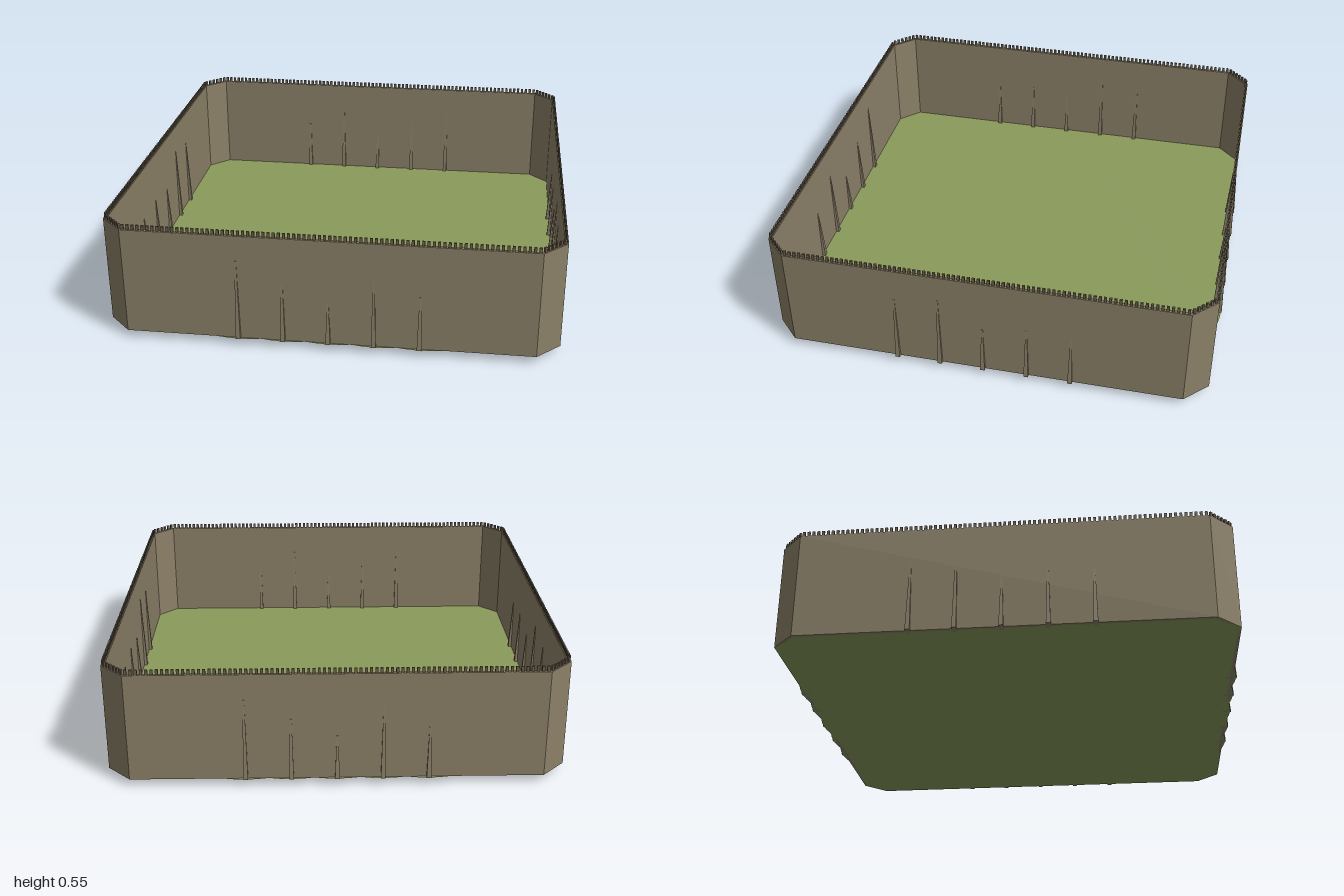
import * as THREE from 'three';
import { mergeGeometries } from 'three/addons/utils/BufferGeometryUtils.js';

const FLOOR_Y = 0.037, WALL_TOP = 0.523;

// Corners of a chamfered square, counter-clockwise
const octagon = (a, c) => [
  [a, -c], [a, c], [c, a], [-c, a], [-a, c], [-a, -c], [-c, -a], [c, -a],
].map(([x, y]) => new THREE.Vector2(x, y));

export function createModel() {
  const group = new THREE.Group();
  const grass = new THREE.MeshStandardMaterial({ name: 'mossGreen', color: 0x8a9a5b, side: THREE.DoubleSide });
  const wood = new THREE.MeshStandardMaterial({ name: 'wallBrown', color: 0x8b8068 });
  const dark = new THREE.MeshStandardMaterial({ name: 'toothBrown', color: 0x6b5f4c });
  const add = (name, geo, mat) => {
    const mesh = new THREE.Mesh(geo, mat);
    mesh.name = name;
    group.add(mesh);
    return mesh;
  };

  // Floor: chamfered square whose front and back edges swell at each buttress
  const scallop = (side) => {
    const pts = [];
    for (let i = 0; i <= 20; i++) {
      const x = -0.4875 + i * 0.04875;
      pts.push(new THREE.Vector2(-side * x, side * (0.985 + 0.012 * Math.sin(Math.PI * (i % 4) / 4))));
    }
    return pts;
  };
  const o = octagon(0.985, 0.883);
  const floorShape = new THREE.Shape([
    o[0], o[1], o[2], ...scallop(1), o[3], o[4], o[5], o[6], ...scallop(-1), o[7],
  ]);
  const rim = [[-0.88, 0.69], [-0.28, 0.69], [-0.28, -0.1], [-0.88, -0.1]];
  const bed = [[-0.7, 0.47], [-0.48, 0.47], [-0.48, 0.06], [-0.7, 0.06]];
  floorShape.holes.push(new THREE.Path(rim.map(([x, z]) => new THREE.Vector2(x, -z))));
  const floorGeo = new THREE.ShapeGeometry(floorShape).rotateX(-Math.PI / 2).translate(0, FLOOR_Y, 0);
  add('floor', floorGeo, grass);

  // Shallow hollow in the floor, shaded softly like the ground around it
  const pos = [], up = [], index = [4, 5, 6, 4, 6, 7];
  rim.forEach(([x, z]) => pos.push(x, FLOOR_Y, z));
  bed.forEach(([x, z]) => pos.push(x, 0, z));
  for (let i = 0; i < 8; i++) up.push(0, 1, 0);
  for (let i = 0; i < 4; i++) {
    const j = (i + 1) % 4;
    index.push(i, j, j + 4, i, j + 4, i + 4);
  }
  const hollow = new THREE.BufferGeometry();
  hollow.setAttribute('position', new THREE.Float32BufferAttribute(pos, 3));
  hollow.setAttribute('normal', new THREE.Float32BufferAttribute(up, 3));
  hollow.setIndex(index);
  add('floorHollow', hollow, grass);

  // Surrounding wall
  const wallShape = new THREE.Shape(octagon(0.985, 0.883));
  wallShape.holes.push(new THREE.Path(octagon(0.97, 0.877)));
  const wallGeo = new THREE.ExtrudeGeometry(wallShape, { depth: WALL_TOP - FLOOR_Y, bevelEnabled: false });
  add('wall', wallGeo.rotateX(-Math.PI / 2).translate(0, FLOOR_Y, 0), wood);

  // Row of small teeth along the top of the wall
  const line = octagon(0.9775, 0.88), teeth = [];
  line.forEach((a, k) => {
    const b = line[(k + 1) % 8];
    const n = Math.round(a.distanceTo(b) / 0.0214);
    const angle = Math.atan2(b.y - a.y, b.x - a.x);
    for (let i = 0; i < n; i++) {
      const p = a.clone().lerp(b, (i + 0.5) / n);
      teeth.push(new THREE.BoxGeometry(0.012, 0.025, 0.008)
        .rotateY(angle).translate(p.x, WALL_TOP + 0.0105, -p.y));
    }
  });
  add('wallTeeth', mergeGeometries(teeth), dark);

  // Tapered buttresses straddling the wall, thinning toward the top
  const buttress = (height) => {
    const geo = new THREE.BoxGeometry(0.02, height, 0.045).toNonIndexed();
    const p = geo.attributes.position;
    for (let i = 0; i < p.count; i++) {
      if (p.getY(i) > 0) p.setXYZ(i, p.getX(i) * 0.35, p.getY(i), p.getZ(i) * 0.4);
    }
    geo.computeVertexNormals();
    return geo.translate(0, FLOOR_Y + height / 2, 0);
  };
  const frontHeights = [0.37, 0.28, 0.2, 0.34, 0.25];
  const sideHeights = [0.33, 0.36, 0.23, 0.26, 0.25];
  ['front', 'left', 'back', 'right'].forEach((side, k) => {
    const heights = k % 2 ? sideHeights : frontHeights;
    const geos = heights.map((h, i) => buttress(h)
      .translate((i - 2) * 0.195, 0, 0.9775).rotateY(k * Math.PI / 2));
    add(side + 'Buttresses', mergeGeometries(geos), wood);
  });

  return group;
}
